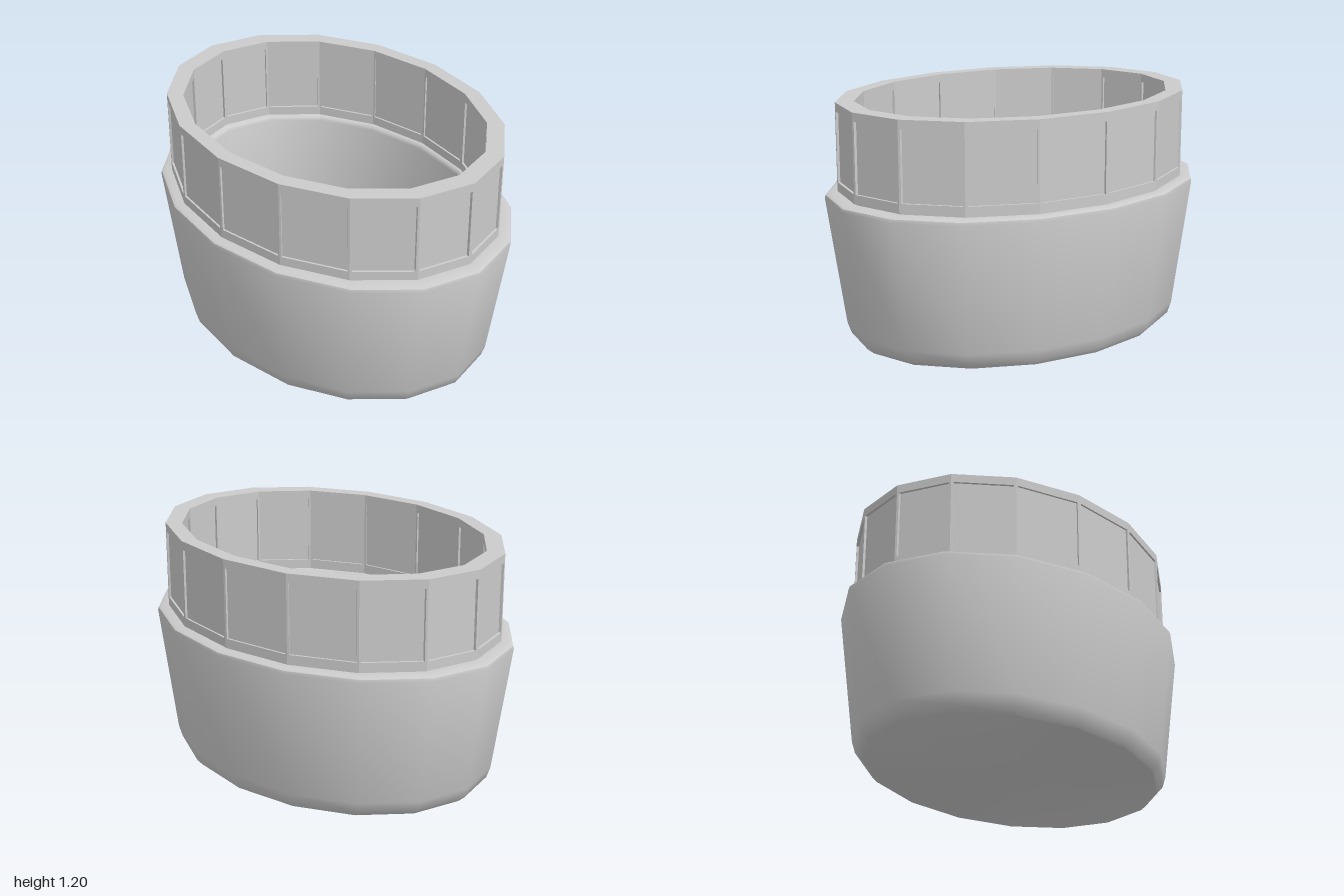
import * as THREE from 'three';
import { toCreasedNormals } from 'three/addons/utils/BufferGeometryUtils.js';

const SIDES = 16;
const DEPTH = 0.75; // z radius relative to x radius
const OUTER = 0.935, INNER = 0.84; // frame ring radii
const FRAME_LOW = 0.765, PANE_LOW = 0.81, PANE_HIGH = 1.152, FRAME_HIGH = 1.195;

const material = new THREE.MeshStandardMaterial({ color: 0xcccccc });

// Sixteen-sided oval turned from [radius, height] points
function oval(name, profile, crease) {
  const points = profile.map(([r, y]) => new THREE.Vector2(r, y));
  const geometry = new THREE.LatheGeometry(points, SIDES);
  geometry.scale(1, 1, DEPTH);
  const mesh = new THREE.Mesh(toCreasedNormals(geometry, crease), material);
  mesh.name = name;
  return mesh;
}

// Faceted oval band with a rectangular section
function band(name, outer, inner, low, high) {
  return oval(name, [[inner, low], [outer, low], [outer, high], [inner, high], [inner, low]], 0.05);
}

// Corner k of an oval of the given radius, on the plan (x, -z)
function corner(k, radius) {
  const a = (k / SIDES) * Math.PI * 2;
  return new THREE.Vector2(Math.sin(a) * radius, -Math.cos(a) * radius * DEPTH);
}

// Thin post that wraps round corner k of the frame
function post(k) {
  const beside = (radius, step) => {
    const from = corner(k, radius);
    const along = corner(k + step, radius).sub(from).setLength(0.01);
    return from.add(along);
  };
  const shape = new THREE.Shape([
    beside(OUTER, -1), corner(k, OUTER), beside(OUTER, 1),
    beside(INNER, 1), corner(k, INNER), beside(INNER, -1),
  ]);
  const geometry = new THREE.ExtrudeGeometry(shape, { depth: PANE_HIGH - PANE_LOW, bevelEnabled: false });
  geometry.rotateX(-Math.PI / 2);
  geometry.translate(0, PANE_LOW, 0);
  const mesh = new THREE.Mesh(geometry, material);
  mesh.name = 'post';
  return mesh;
}

export function createModel() {
  const model = new THREE.Group();
  model.name = 'ovalTub';

  // Hollow tapered basin with soft lip and slightly bulging underside
  model.add(oval('basin', [
    [0, 0], [0.85, 0.016], [0.885, 0.045], [0.905, 0.1],
    [1, 0.735], [0.996, 0.75], [0.98, 0.757],
    [0.84, 0.757], [0.825, 0.75], [0.818, 0.735],
    [0.81, 0.06], [0, 0.06],
  ], 0.75));

  // Narrow neck between basin and frame
  model.add(band('neck', 0.92, 0.855, 0.75, FRAME_LOW + 0.005));

  // Panelled frame: two rails, corner posts and recessed panes
  const frame = new THREE.Group();
  frame.name = 'panelledFrame';
  frame.add(band('lowerRail', OUTER, INNER, FRAME_LOW, PANE_LOW));
  frame.add(band('upperRail', OUTER, INNER, PANE_HIGH, FRAME_HIGH));
  frame.add(band('panes', 0.922, 0.853, PANE_LOW, PANE_HIGH));
  for (let k = 0; k < SIDES; k++) frame.add(post(k));
  model.add(frame);

  return model;
}
